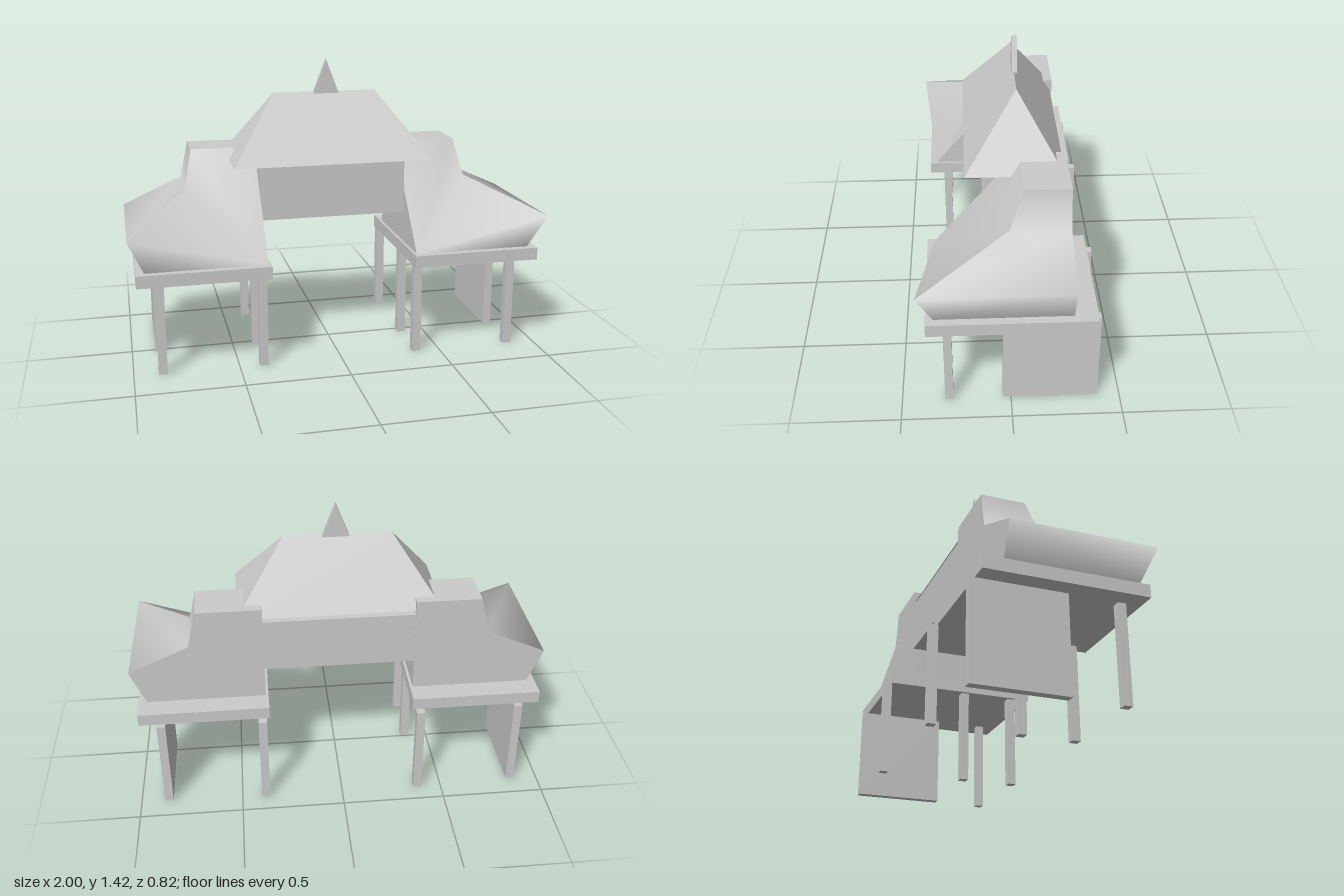
import * as THREE from 'three';

const grey = new THREE.MeshStandardMaterial({ color: 0xcccccc });

function addMesh(parent, name, geometry) {
  const mesh = new THREE.Mesh(geometry, grey);
  mesh.name = name;
  parent.add(mesh);
  return mesh;
}

// Box given by its limits; s mirrors it across x = 0
function addBox(parent, name, [x0, x1], [y0, y1], [z0, z1], s = 1) {
  const mesh = addMesh(parent, name, new THREE.BoxGeometry(x1 - x0, y1 - y0, z1 - z0));
  mesh.position.set(s * (x0 + x1) / 2, (y0 + y1) / 2, (z0 + z1) / 2);
}

// Surface from corner points and convex faces; normals are smooth across shared corners
function patch(points, faces, s = 1) {
  const index = [];
  for (const f of faces) {
    for (let i = 1; i < f.length - 1; i++) {
      index.push(...(s > 0 ? [f[0], f[i], f[i + 1]] : [f[0], f[i + 1], f[i]]));
    }
  }
  const g = new THREE.BufferGeometry();
  g.setAttribute('position', new THREE.Float32BufferAttribute(points.flatMap(([x, y, z]) => [s * x, y, z]), 3));
  g.setIndex(index);
  g.computeVertexNormals();
  return g;
}

// Side house: outer profile from base to top, mitred into a sloping front
function createHouse(s) {
  const house = new THREE.Group();
  const inner = 0.36, back = -0.27;
  const profile = [[0.93, 0.52, 0.34], [1.0, 0.69, 0.41], [0.71, 0.82, 0.0], [0.67, 1.0, -0.06]];
  const toBack = ([x, y]) => [x, y, back];
  const rear = profile.map(toBack);
  const foot = [inner, 0.52, 0.34], head = [inner, 1.0, -0.06];
  const rearFoot = toBack(foot), rearHead = toBack(head);

  addMesh(house, 'frontSlope', patch([foot, ...profile, head], [[0, 1, 2, 3, 4, 5]], s));
  addMesh(house, 'outerRoof', patch([...profile, ...rear],
    [0, 1, 2].map(i => [i, i + 4, i + 5, i + 1]), s));
  addMesh(house, 'flatTop', patch([head, profile[3], rear[3], rearHead], [[0, 1, 2, 3]], s));
  addMesh(house, 'innerWall', patch([rearFoot, foot, head, rearHead], [[0, 1, 2, 3]], s));
  addMesh(house, 'backWall', patch([rearFoot, rearHead, ...[...rear].reverse()], [[0, 1, 2, 3, 4, 5]], s));
  addMesh(house, 'houseFloor', patch([foot, rearFoot, rear[0], profile[0]], [[0, 1, 2, 3]], s));
  return house;
}

// Platform with posts and a wall panel below
function createBase(s) {
  const base = new THREE.Group();
  addBox(base, 'platform', [0.347, 0.97], [0.46, 0.52], [-0.375, 0.375], s);
  for (const z of [0.283, 0.025, -0.39]) {
    addBox(base, 'innerPost', [0.362, 0.403], [0, 0.46], [z - 0.02, z + 0.02], s);
  }
  addBox(base, 'outerPost', [0.843, 0.884], [0, 0.46], [0.265, 0.303], s);
  addBox(base, 'wallPanel', [0.843, 0.884], [0.005, 0.46], [-0.397, 0.037], s);
  return base;
}

export function createModel() {
  const model = new THREE.Group();
  model.name = 'gateBuilding';

  for (const [side, s] of [['left', 1], ['right', -1]]) {
    const house = createHouse(s);
    house.name = side + 'House';
    const base = createBase(s);
    base.name = side + 'Base';
    model.add(house, base);
  }

  addBox(model, 'bridge', [-0.36, 0.36], [0.67, 0.93], [-0.265, 0.113]);

  // Hipped roof over the bridge
  const y = 0.947;
  const roof = patch([
    [-0.49, y, 0.193], [0.48, y, 0.193], [0.48, y, -0.26], [-0.49, y, -0.26],
    [-0.263, 1.265, -0.05], [0.245, 1.265, -0.05],
  ], [[0, 1, 5, 4], [1, 2, 5], [2, 3, 4, 5], [3, 0, 4], [0, 3, 2, 1]]).toNonIndexed();
  roof.computeVertexNormals();
  addMesh(model, 'hippedRoof', roof);

  // Thin triangular finial on the ridge
  const triangle = new THREE.Shape([[-0.065, 1.255], [0.063, 1.255], [0, 1.42]].map(p => new THREE.Vector2(...p)));
  const finial = new THREE.ExtrudeGeometry(triangle, { depth: 0.025, bevelEnabled: false });
  addMesh(model, 'finial', finial).position.z = -0.065;

  return model;
}
